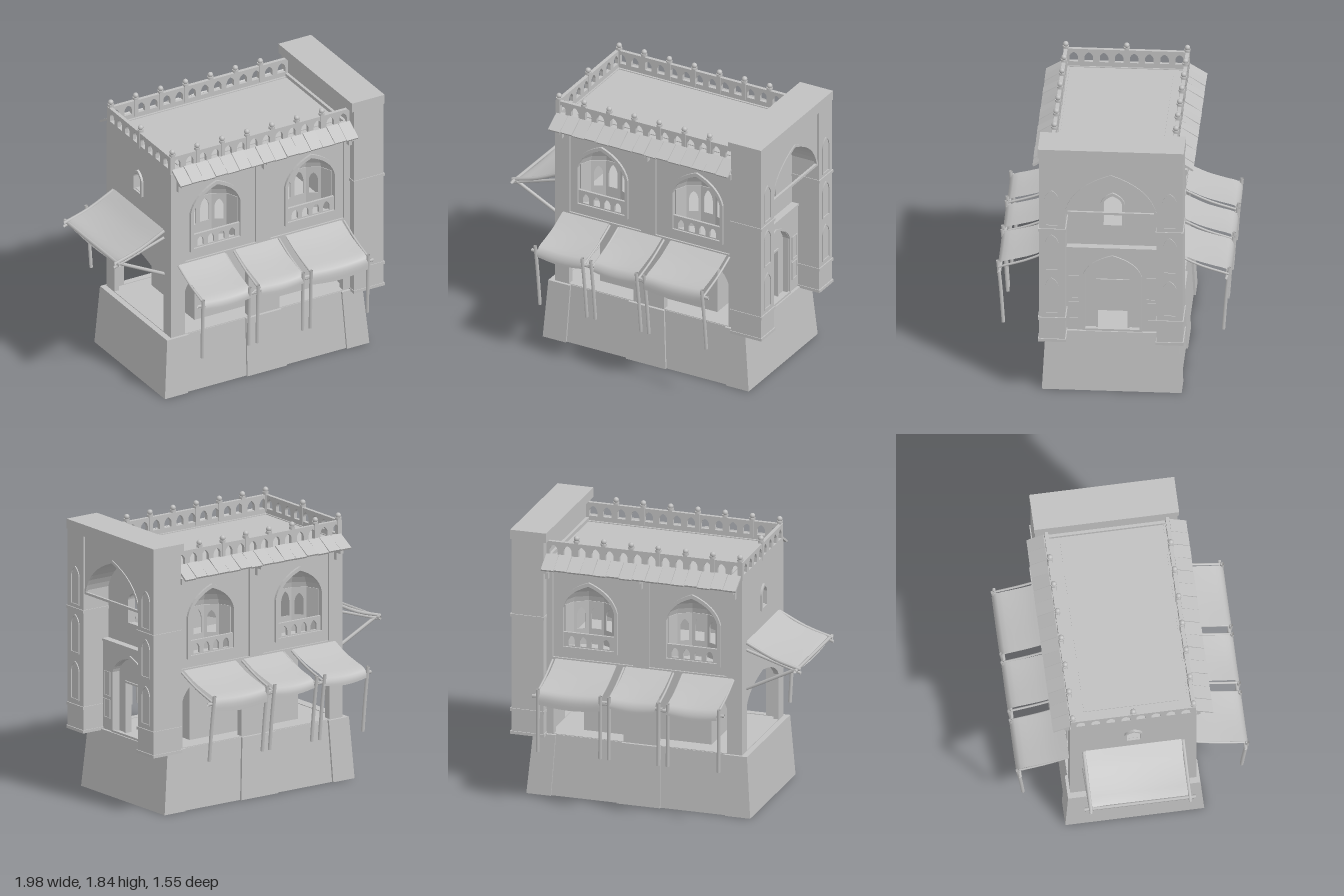
import * as THREE from 'three';

const stone = new THREE.MeshStandardMaterial({ color: 0xc0c0c0, side: THREE.DoubleSide });
stone.name = 'pale grey stone';

const V = (x, y, z) => new THREE.Vector3(x, y, z);

function add(parent, name, geo, x = 0, y = 0, z = 0) {
  const mesh = new THREE.Mesh(geo, stone);
  mesh.name = name;
  mesh.position.set(x, y, z);
  parent.add(mesh);
  return mesh;
}

// Box given by its limits on each axis
function block(parent, name, x0, x1, y0, y1, z0, z1) {
  return add(parent, name, new THREE.BoxGeometry(x1 - x0, y1 - y0, z1 - z0),
    (x0 + x1) / 2, (y0 + y1) / 2, (z0 + z1) / 2);
}

// Pointed arch outline: half width w, sill, springing and apex heights
function arch(w, sill, spring, apex, cx = 0, Type = THREE.Shape) {
  const s = new Type(), c = spring + (apex - spring) * 0.68;
  s.moveTo(cx - w, sill);
  s.lineTo(cx + w, sill);
  s.lineTo(cx + w, spring);
  s.quadraticCurveTo(cx + w * 0.85, c, cx, apex);
  s.quadraticCurveTo(cx - w * 0.85, c, cx - w, spring);
  s.closePath();
  return s;
}

function rect(x0, x1, y0, y1, Type = THREE.Shape) {
  const s = new Type();
  s.moveTo(x0, y0); s.lineTo(x1, y0); s.lineTo(x1, y1); s.lineTo(x0, y1);
  s.closePath();
  return s;
}

const hole = (w, sill, spring, apex, cx) => arch(w, sill, spring, apex, cx, THREE.Path);

// Flat slab with openings, from z0 to z1
function slab(parent, name, shape, holes, z0, z1, x = 0) {
  shape.holes = holes;
  const geo = new THREE.ExtrudeGeometry(shape, { depth: z1 - z0, bevelEnabled: false, curveSegments: 8 });
  return add(parent, name, geo, x, 0, z0);
}

// Moulding that follows a pointed arch
function archFrame(parent, name, w, sill, spring, apex, t, z0, z1, cx = 0) {
  return slab(parent, name, arch(w, sill, spring, apex, cx),
    [hole(w - t, sill + t, spring, apex - t * 1.2, cx)], z0, z1);
}

function rod(parent, name, points, r = 0.012) {
  return add(parent, name, new THREE.TubeGeometry(new THREE.CatmullRomCurve3(points), 6, r, 6));
}

// Hanging cloth swept along a [z, y] profile
function cloth(parent, name, x0, x1, profile) {
  const curve = new THREE.CatmullRomCurve3(profile.map(([z, y]) => V(0, y, z)));
  const geo = new THREE.PlaneGeometry(1, 1, 8, 12), p = geo.attributes.position;
  for (let i = 0; i < p.count; i++) {
    const u = p.getX(i) + 0.5, t = 0.5 - p.getY(i), q = curve.getPoint(t);
    const sag = 0.02 * Math.sin(u * Math.PI) * t;
    p.setXYZ(i, x0 + (x1 - x0) * u, q.y - sag, q.z);
  }
  geo.computeVertexNormals();
  return add(parent, name, geo);
}

// Tapered block: vertices move from the bottom limits to the top limits
function taper(parent, name, b, t, openBottom) {
  let geo = new THREE.BoxGeometry(1, 1, 1);
  const p = geo.attributes.position;
  for (let i = 0; i < p.count; i++) {
    const top = p.getY(i) > 0, l = top ? t : b;
    p.setXYZ(i, l[p.getX(i) > 0 ? 1 : 0], top ? 0.42 : 0, l[p.getZ(i) > 0 ? 3 : 2]);
  }
  if (openBottom) geo.setIndex([...geo.index.array].filter((v, i) => i < 18 || i >= 24));
  geo = geo.toNonIndexed();
  geo.computeVertexNormals();
  add(parent, name, geo);
}

// Five-sided bay with three small windows under a pointed half dome
function niche(parent, cx) {
  const g = new THREE.Group(), R = 0.18, D = 0.14;
  g.name = 'windowNiche';
  g.position.set(cx, 0, 0.385);
  parent.add(g);
  const at = k => [R * Math.cos(k * Math.PI / 5), -D * Math.sin(k * Math.PI / 5)];
  for (let k = 0; k < 5; k++) {
    const [xa, za] = at(k), [xb, zb] = at(k + 1), w = Math.hypot(xb - xa, zb - za) / 2;
    const holes = k === 0 || k === 4 ? [] : [hole(k === 2 ? 0.034 : 0.03, 1.13, 1.23, k === 2 ? 1.3 : 1.28)];
    const m = slab(g, 'nicheWall', rect(-w, w, 1.02, 1.32), holes, 0, 0.008);
    m.position.set((xa + xb) / 2, 0, (za + zb) / 2);
    m.rotation.y = Math.atan2(zb - za, xa - xb);
  }
  const profile = new THREE.QuadraticBezierCurve(
    new THREE.Vector2(R, 1.31), new THREE.Vector2(R * 0.85, 1.43), new THREE.Vector2(0.001, 1.49)).getPoints(5);
  const dome = new THREE.LatheGeometry(profile, 5, Math.PI / 2, Math.PI);
  dome.scale(1, 1, D / R);
  const flat = dome.toNonIndexed();
  flat.computeVertexNormals();
  add(g, 'nicheDome', flat);
}

function finial(parent, x, z) {
  block(parent, 'parapetPost', x - 0.014, x + 0.014, 1.65, 1.775, z - 0.016, z + 0.016);
  add(parent, 'finialCollar', new THREE.CylinderGeometry(0.021, 0.021, 0.012, 10), x, 1.78, z);
  add(parent, 'finial', new THREE.SphereGeometry(0.019, 10, 7), x, 1.798, z);
}

// Pierced parapet with a rail, between two x limits at z = 0.39..0.415
function parapet(parent, x0, x1, n) {
  const step = (x1 - x0) / n, holes = [];
  for (let i = 0; i < n; i++) holes.push(hole(0.029, 1.672, 1.705, 1.742, x0 + step * (i + 0.5)));
  return slab(parent, 'parapet', rect(x0, x1, 1.6, 1.765), holes, 0.39, 0.415);
}

// Long side: s = 1 front, s = -1 back (turned round, so x is negated)
function longSide(root, s) {
  const g = new THREE.Group();
  g.name = s > 0 ? 'frontSide' : 'backSide';
  g.rotation.y = s > 0 ? 0 : Math.PI;
  root.add(g);
  const span = (a, b) => s > 0 ? [a, b] : [-b, -a];
  const [l, r] = span(-0.61, 0.76), bays = [-0.26 * s, 0.46 * s];
  const doors = () => bays.map(c => hole(0.243, 0.424, 0.74, 0.92, c));
  slab(g, 'wall', rect(l, r, 0.42, 1.64), [...doors(), ...bays.map(c => hole(0.18, 1.03, 1.31, 1.49, c))], 0.375, 0.408);
  const panels = [[-0.5, 0.04], [0.15, 0.71]].map(([a, b]) => rect(...span(a, b), 0.96, 1.6, THREE.Path));
  slab(g, 'pilastersAndPlinth', rect(l, r, 0.42, 1.64), [...doors(), ...panels], 0.408, 0.42);
  for (const c of bays) {
    niche(g, c);
    archFrame(g, 'nicheFrame', 0.2, 1.02, 1.31, 1.505, 0.022, 0.4, 0.425, c);
    const holes = [-0.12, -0.04, 0.04, 0.12].map(d => hole(0.024, 1.05, 1.085, 1.118, c + d));
    slab(g, 'balustrade', rect(c - 0.185, c + 0.185, 1.03, 1.14), holes, 0.395, 0.412);
  }
  parapet(g, ...span(-0.61, 0.755), 14);
  for (let i = 0; i < 7; i++) finial(g, s * (-0.59 + 0.19 * i), 0.402);

  // sloping eaves made of overlapping stone slabs
  for (let i = 0; i < 15; i++) {
    const m = add(g, 'eavesSlab', new THREE.BoxGeometry(0.088, 0.014, 0.135),
      s * (-0.557 + 0.0907 * i), 1.634 + 0.003 * (i % 2), 0.472);
    m.rotation.x = 0.55 + 0.025 * ((i * 7) % 3);
  }
  for (const x of [-0.555, 0.095, 0.745]) {
    block(g, 'eavesBracket', s * x - 0.014, s * x + 0.014, 1.56, 1.6, 0.41, 0.49);
    block(g, 'eavesBracketFoot', s * x - 0.014, s * x + 0.014, 1.51, 1.56, 0.41, 0.45);
  }

  // three cloth awnings on leaning poles
  for (const [a, b, pa, pb, drop] of [[-0.55, -0.2, -0.55, -0.195, 0], [-0.12, 0.2, -0.13, 0.215, 0], [0.265, 0.69, 0.275, 0.71, 0.03]]) {
    cloth(g, 'awning', ...span(a, b),
      [[0.42, 0.95], [0.54, 0.895], [0.66, 0.86], [0.745, 0.835], [0.768, 0.8], [0.77, 0.775 - drop]]);
    rod(g, 'awningBar', [V(s * (a - 0.05), 0.805, 0.75), V(s * (b + 0.05), 0.795, 0.75)], 0.011);
    for (const p of [pa, pb]) {
      rod(g, 'awningPole', [V(s * (p - 0.015), 0.85, 0.765), V(s * (p - 0.008), 0.65, 0.745), V(s * p, 0.4, 0.727)], 0.013);
      rod(g, 'awningRafter', [V(s * p, 0.94, 0.42), V(s * p, 0.87, 0.57), V(s * p, 0.81, 0.76)], 0.008);
    }
  }
}

// Short left side with a window, an open bay and one propped awning
function leftSide(root) {
  const g = new THREE.Group();
  g.name = 'leftSide';
  g.rotation.y = -Math.PI / 2;
  root.add(g);
  slab(g, 'endWall', rect(-0.42, 0.42, 0.42, 1.64),
    [hole(0.045, 1.33, 1.42, 1.465), hole(0.32, 0.424, 0.74, 0.88)], 0.575, 0.61);
  archFrame(g, 'endWindowFrame', 0.06, 1.31, 1.42, 1.485, 0.016, 0.605, 0.625);
  parapet(g, -0.4, 0.4, 8).position.z = 0.585;
  finial(g, 0, 0.597);
  cloth(g, 'endAwning', -0.32, 0.32, [[0.61, 1.19], [0.72, 1.125], [0.85, 1.075], [0.95, 1.045], [0.965, 1.025]]);
  rod(g, 'endAwningBar', [V(-0.37, 1.03, 0.96), V(0.37, 1.035, 0.965)], 0.012);
  for (const x of [-0.33, 0.33]) {
    rod(g, 'endAwningRafter', [V(x, 1.18, 0.61), V(x, 1.09, 0.8), V(x, 1.035, 0.985)], 0.012);
    rod(g, 'endAwningRail', [V(x, 1.13, 0.61), V(x, 1.01, 0.99)], 0.01);
    rod(g, 'endAwningStrut', [V(x, 0.86, 0.61), V(x, 1.04, 0.97)], 0.012);
  }
}

// Tall gateway on the right: two piers, a deep pointed arch and a doorway
function gateway(root) {
  const g = new THREE.Group();
  g.name = 'gateway';
  g.rotation.y = Math.PI / 2;
  root.add(g);
  for (const s of [-1, 1]) {
    const [a, b] = s > 0 ? [0.302, 0.475] : [-0.475, -0.302];
    block(g, 'gatePier', a, b, 0.41, 1.78, 0.755, 0.98);
    for (const y of [0.42, 0.58, 1.24])
      block(g, 'pierBand', a - 0.005, b + 0.007, y - 0.01, y + 0.01, 0.75, 0.988);
    for (const y of [0.62, 0.94, 1.27])
      archFrame(g, 'pierNiche', 0.046, y, y + 0.2, y + 0.265, 0.008, 0.975, 0.987, s * 0.39);
    for (const [y0, y1] of [[0.5, 0.63], [0.65, 0.82]])
      slab(g, 'doorSidePanel', rect(s * 0.255 - 0.035, s * 0.255 + 0.035, y0, y1),
        [rect(s * 0.255 - 0.028, s * 0.255 + 0.028, y0 + 0.007, y1 - 0.007, THREE.Path)], 0.82, 0.826);
  }
  const vault = new THREE.Shape();
  vault.moveTo(-0.303, 1.38);
  vault.quadraticCurveTo(-0.25, 1.55, 0, 1.64);
  vault.quadraticCurveTo(0.25, 1.55, 0.303, 1.38);
  vault.lineTo(0.303, 1.78);
  vault.lineTo(-0.303, 1.78);
  vault.closePath();
  slab(g, 'gateVault', vault, [], 0.755, 0.965);
  archFrame(g, 'vaultMoulding', 0.303, 1.36, 1.38, 1.655, 0.016, 0.955, 0.972)
    .geometry.computeBoundingBox();
  block(g, 'gateLintel', -0.303, 0.303, 1.755, 1.78, 0.755, 0.98);
  block(g, 'gateCap', -0.482, 0.482, 1.772, 1.838, 0.735, 0.985);

  slab(g, 'gateBackWall', rect(-0.42, 0.42, 0.42, 1.66),
    [hole(0.062, 1.185, 1.345, 1.41), rect(-0.1, 0.1, 0.424, 0.77, THREE.Path)], 0.735, 0.775);
  archFrame(g, 'gateWindowFrame', 0.08, 1.17, 1.345, 1.425, 0.018, 0.77, 0.79);
  slab(g, 'doorSurround', rect(-0.302, 0.302, 0.42, 1.03), [hole(0.18, 0.424, 0.83, 0.96)], 0.775, 0.82);
  archFrame(g, 'doorArchMoulding', 0.195, 0.42, 0.83, 0.98, 0.014, 0.815, 0.83);
  slab(g, 'doorFrame', rect(-0.11, 0.11, 0.42, 0.78), [rect(-0.097, 0.097, 0.424, 0.767, THREE.Path)], 0.77, 0.785);
  block(g, 'doorCornice', -0.302, 0.302, 1.02, 1.035, 0.775, 0.828);
}

export function createModel() {
  const root = new THREE.Group();
  root.name = 'arcadedHouse';

  // battered plinth, hollow underneath, with buttresses
  taper(root, 'plinth', [-0.68, 0.88, -0.448, 0.448], [-0.65, 0.84, -0.425, 0.425], true);
  for (const s of [-1, 1])
    for (const [b0, b1, t0, t1] of [[-0.68, -0.505, -0.65, -0.485], [-0.05, 0.25, -0.045, 0.225], [0.71, 0.88, 0.685, 0.84]]) {
      const z = (inner, outer) => s > 0 ? [inner, outer] : [-outer, -inner];
      taper(root, 'buttress', [b0, b1, ...z(0.44, 0.462)], [t0, t1, ...z(0.41, 0.44)], false);
    }

  // inner core, upper floor and roof
  block(root, 'groundFloorCore', -0.35, 0.54, 0.42, 0.93, -0.28, 0.28);
  block(root, 'upperFloor', -0.6, 0.755, 0.925, 0.955, -0.4, 0.4);
  block(root, 'roofDeck', -0.6, 0.755, 1.6, 1.635, -0.41, 0.41);
  block(root, 'roofPanel', -0.5, 0.7, 1.635, 1.641, -0.315, 0.315);

  longSide(root, 1);
  longSide(root, -1);
  leftSide(root);
  gateway(root);
  return root;
}
